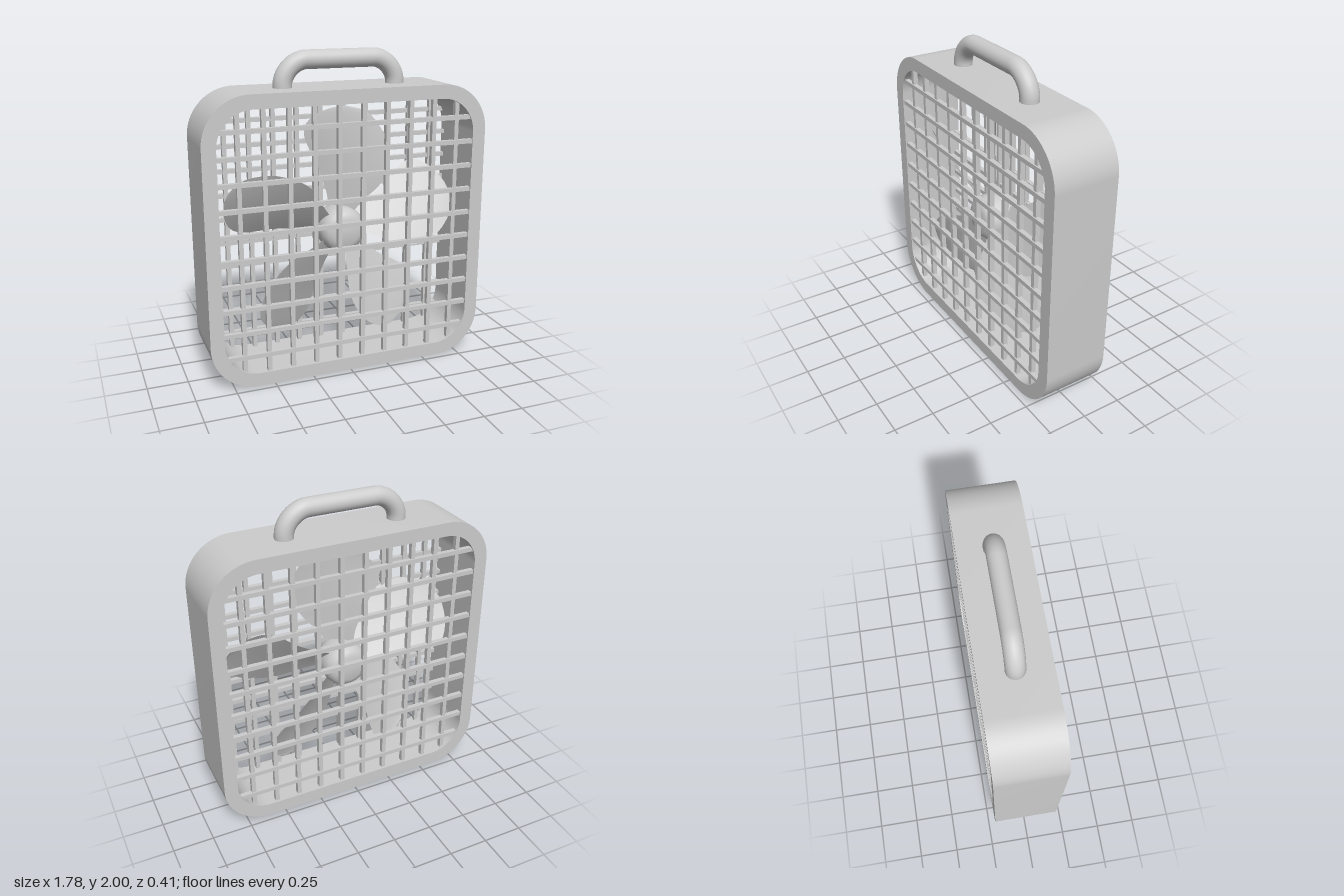
import * as THREE from 'three';
import { toCreasedNormals } from 'three/addons/utils/BufferGeometryUtils.js';

const CY = 0.895, OUTER = 0.89, INNER = 0.805, R_OUT = 0.29, R_IN = 0.215;
const DEPTH = 0.414;
const grey = new THREE.MeshStandardMaterial({ color: 0xcccccc });
const greyThin = new THREE.MeshStandardMaterial({ color: 0xcccccc, side: THREE.DoubleSide });

function mesh(name, geometry, material = grey) {
  const m = new THREE.Mesh(geometry, material);
  m.name = name;
  return m;
}

// Traces a centred rounded square
function roundedSquare(path, h, r) {
  const c = h - r;
  path.absarc(c, c, r, 0, Math.PI / 2);
  path.absarc(-c, c, r, Math.PI / 2, Math.PI);
  path.absarc(-c, -c, r, Math.PI, Math.PI * 1.5);
  path.absarc(c, -c, r, Math.PI * 1.5, Math.PI * 2);
  path.closePath();
  return path;
}

// Open box housing
function housing() {
  const shape = roundedSquare(new THREE.Shape(), OUTER, R_OUT);
  shape.holes.push(roundedSquare(new THREE.Path(), INNER, R_IN));
  const g = new THREE.ExtrudeGeometry(shape, { depth: DEPTH, bevelEnabled: false, curveSegments: 20 });
  g.translate(0, 0, -DEPTH / 2);
  return mesh('housing', toCreasedNormals(g, 0.5));
}

// Grid of bars, each reaching just into the rounded opening's wall
function grille(name, z) {
  const group = new THREE.Group();
  group.name = name;
  const n = 10, step = 0.153, thick = 0.027;
  for (let i = 0; i < n; i++) {
    const t = (i - (n - 1) / 2) * step;
    for (const vertical of [true, false]) {
      const p = t + (vertical ? 0.009 : -0.006);
      const d = Math.max(0, Math.abs(p) - (INNER - R_IN));
      const len = 2 * (INNER - R_IN + Math.sqrt(R_IN * R_IN - d * d) + 0.02);
      const bar = mesh(vertical ? 'verticalBar' : 'horizontalBar',
        new THREE.BoxGeometry(vertical ? thick : len, vertical ? len : thick, 0.03));
      bar.position.set(vertical ? p : 0, vertical ? 0 : p, z + Math.sign(z) * (vertical ? -0.004 : 0.004));
      group.add(bar);
    }
  }
  return group;
}

// Twisted blade pointing up: stations of [radius, left edge, right edge]
function bladeGeometry() {
  const outline = new THREE.CatmullRomCurve3([
    [0.1, -0.06, 0.06], [0.2, -0.065, 0.13], [0.3, -0.09, 0.21], [0.4, -0.12, 0.245],
    [0.5, -0.165, 0.25], [0.58, -0.19, 0.24], [0.65, -0.18, 0.21], [0.715, -0.12, 0.165],
    [0.75, -0.05, 0.11], [0.765, 0.01, 0.05],
  ].map((p) => new THREE.Vector3(...p)));
  const rows = 30, cols = 8;
  const g = new THREE.PlaneGeometry(1, 1, cols, rows);
  const pos = g.attributes.position;
  for (let j = 0; j <= rows; j++) {
    const s = outline.getPoint(1 - j / rows);
    const pitch = 0.85 - 0.3 * (s.x / 0.765);
    for (let i = 0; i <= cols; i++) {
      const u = i / cols;
      const x = THREE.MathUtils.lerp(s.y, s.z, u);
      const camber = 0.1 * (s.z - s.y) * u * (1 - u);
      pos.setXYZ(j * (cols + 1) + i, x, s.x, x * pitch + camber);
    }
  }
  g.computeVertexNormals();
  return g;
}

// Hub with five blades
function fan() {
  const group = new THREE.Group();
  group.name = 'fan';
  const profile = [[0, -0.12], [0.085, -0.12], [0.115, -0.108], [0.137, -0.08], [0.146, -0.04],
    [0.146, 0.04], [0.137, 0.08], [0.115, 0.108], [0.085, 0.12], [0, 0.12]]
    .map(([x, y]) => new THREE.Vector2(x, y));
  const hub = mesh('hub', toCreasedNormals(new THREE.LatheGeometry(profile, 40), 0.6));
  hub.rotation.x = Math.PI / 2;
  group.add(hub);
  const geometry = bladeGeometry();
  for (let i = 0; i < 5; i++) {
    const blade = mesh('blade', geometry, greyThin);
    blade.rotation.z = (i * Math.PI * 2) / 5;
    group.add(blade);
  }
  return group;
}

// Bent tube carrying handle
function handle() {
  const V = (x, y) => new THREE.Vector3(x, y, 0);
  const x = 0.357, y = 1.943, r = 0.145, k = r * 0.45;
  const path = new THREE.CurvePath();
  path.add(new THREE.LineCurve3(V(-x, 1.74), V(-x, y - r)));
  path.add(new THREE.CubicBezierCurve3(V(-x, y - r), V(-x, y - k), V(-x + r - k, y), V(-x + r, y)));
  path.add(new THREE.LineCurve3(V(-x + r, y), V(x - r, y)));
  path.add(new THREE.CubicBezierCurve3(V(x - r, y), V(x - r + k, y), V(x, y - k), V(x, y - r)));
  path.add(new THREE.LineCurve3(V(x, y - r), V(x, 1.74)));
  return mesh('handle', new THREE.TubeGeometry(path, 80, 0.057, 24));
}

export function createModel() {
  const model = new THREE.Group();
  model.name = 'boxFan';
  const body = new THREE.Group();
  body.name = 'body';
  body.position.y = CY;
  body.add(housing(), grille('frontGrille', 0.18), grille('rearGrille', -0.18), fan());
  model.add(body, handle());
  return model;
}
